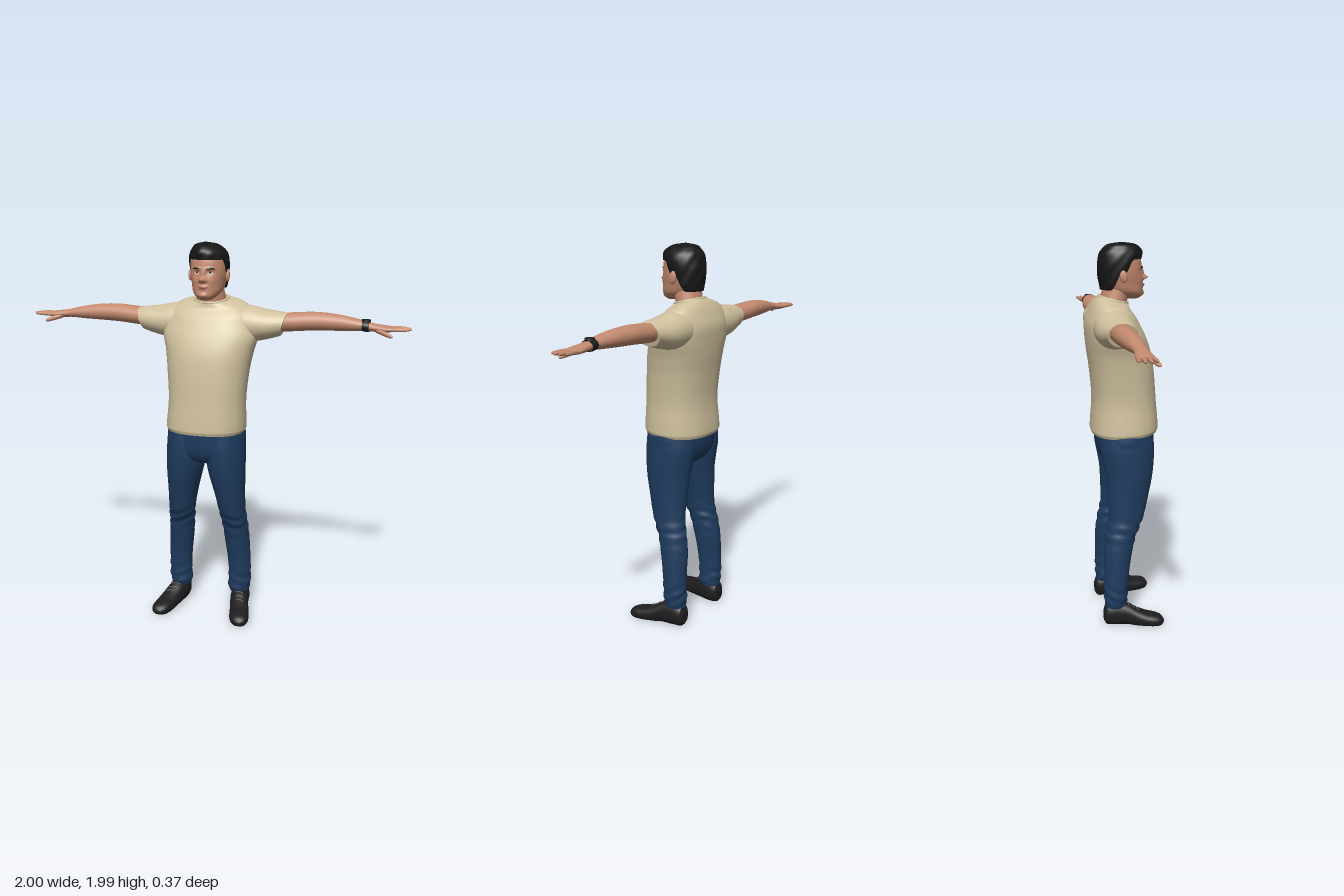
import * as THREE from 'three';

const mat = (name, color) => Object.assign(new THREE.MeshStandardMaterial({ color }), { name });
const clamp = (v) => Math.min(1, Math.max(0, v));
const ss = (a, b, v) => { const t = clamp((v - a) / (b - a)); return t * t * (3 - 2 * t); };
const spow = (v, e) => Math.sign(v) * Math.pow(Math.abs(v), e);

// Smooth interpolation of rows [t, centreA, centreB, radiusA, radiusB] at t
function at(rows, t) {
  const n = rows.length;
  t = Math.min(rows[n - 1][0], Math.max(rows[0][0], t));
  let i = 0;
  while (i < n - 2 && t > rows[i + 1][0]) i++;
  const p = rows[i], q = rows[i + 1], d = q[0] - p[0], f = (t - p[0]) / d;
  const slope = (k, c) => {
    const a = rows[Math.max(0, k - 1)], b = rows[Math.min(n - 1, k + 1)];
    return (b[c] - a[c]) / (b[0] - a[0]);
  };
  const f2 = f * f, f3 = f2 * f;
  return [1, 2, 3, 4].map((c) => (2 * f3 - 3 * f2 + 1) * p[c] + (f3 - 2 * f2 + f) * d * slope(i, c)
    + (3 * f2 - 2 * f3) * q[c] + (f3 - f2) * d * slope(i + 1, c));
}

// Surface of rings; each ring closes on itself, ends are optionally capped
function rings(count, seg, fn, capped = true) {
  const pos = [], idx = [];
  const put = (v) => pos.push(v.x, v.y, v.z) / 3 - 1;
  for (let i = 0; i < count; i++) for (let j = 0; j < seg; j++) put(fn(i, (j / seg) * Math.PI * 2));
  for (let i = 0; i < count - 1; i++) for (let j = 0; j < seg; j++) {
    const k = (j + 1) % seg, a = i * seg, b = a + seg;
    idx.push(a + j, b + j, a + k, b + j, b + k, a + k);
  }
  if (capped) for (const i of [0, count - 1]) {
    const ring = [], mid = new THREE.Vector3();
    for (let j = 0; j < seg; j++) {
      const v = fn(i, (j / seg) * Math.PI * 2);
      mid.addScaledVector(v, 1 / seg);
      ring.push(put(v));
    }
    const c = put(mid);
    ring.forEach((r, j) => { const s = ring[(j + 1) % seg]; idx.push(c, ...(i ? [s, r] : [r, s])); });
  }
  const g = new THREE.BufferGeometry();
  g.setAttribute('position', new THREE.Float32BufferAttribute(pos, 3));
  g.setIndex(idx);
  g.computeVertexNormals();
  return g;
}

// Rows: axis y -> a = x, b = z; axis x -> a = z, b = y; axis z -> a = y, b = x
function loft(axis, rows, { seg = 32, sub = 4, p = 2, warp } = {}) {
  const ts = [rows[0][0]];
  for (let i = 1; i < rows.length; i++) for (let k = 1; k <= sub; k++)
    ts.push(rows[i - 1][0] + (rows[i][0] - rows[i - 1][0]) * k / sub);
  return rings(ts.length, seg, (i, phi) => {
    const t = ts[i], [ca, cb, ra, rb] = at(rows, t);
    const a = ca + ra * spow(Math.cos(phi), 2 / p), b = cb + rb * spow(Math.sin(phi), 2 / p);
    const v = axis === 'x' ? new THREE.Vector3(t, b, a) : axis === 'y' ? new THREE.Vector3(a, t, b) : new THREE.Vector3(b, a, t);
    if (warp) warp(v);
    return v;
  });
}

// Mirror a geometry in x and keep its faces outward
function mirror(g) {
  const m = g.clone().scale(-1, 1, 1), ix = m.index.array;
  for (let i = 0; i < ix.length; i += 3) [ix[i], ix[i + 1]] = [ix[i + 1], ix[i]];
  m.computeVertexNormals();
  return m;
}

// Head profile and facial relief [x, y, spreadX, spreadY, height]
const HEAD = [[1.71, 0, .055, .028, .035], [1.725, 0, .043, .05, .064], [1.75, 0, .02, .071, .09], [1.79, 0, 0, .082, .108],
  [1.83, 0, -.003, .089, .108], [1.87, 0, -.005, .091, .108], [1.91, 0, -.006, .088, .102], [1.94, 0, -.01, .07, .085], [1.96, 0, -.01, .04, .05]];
const RELIEF = [[0, 1.84, .009, .02, .012], [0, 1.812, .013, .012, .03], [0, 1.775, .02, .009, .009], [0, 1.735, .022, .012, .009]];
for (const s of [-1, 1]) RELIEF.push([s * .014, 1.807, .008, .007, .009], [s * .034, 1.845, .016, .01, -.007],
  [s * .03, 1.864, .02, .007, .005], [s * .045, 1.805, .02, .018, .004]);
const relief = (x, y) => RELIEF.reduce((h, [cx, cy, sx, sy, k]) => h + k * Math.exp(-(((x - cx) / sx) ** 2) - ((y - cy) / sy) ** 2), 0);
const HP = 2.2;
function faceZ(x, y) {
  const [cx, cz, rx, rz] = at(HEAD, y);
  return cz + rz * Math.pow(Math.max(0, 1 - Math.abs((x - cx) / rx) ** HP), 1 / HP) + relief(x, y);
}

// Thin painted patch that follows the face
function patch(cx, cy, w, h, arch, lift) {
  const g = new THREE.PlaneGeometry(2, 2, 14, 4), P = g.attributes.position;
  for (let i = 0; i < P.count; i++) {
    const u = P.getX(i), v = P.getY(i);
    const x = cx + u * w, y = cy + v * h * Math.sqrt(Math.max(0, 1 - u * u)) + arch * (1 - u * u);
    P.setXYZ(i, x, y, faceZ(x, y) + lift);
  }
  g.computeVertexNormals();
  return g;
}

export function createModel() {
  const skin = mat('skin', 0xc38a6f), shirt = mat('shirt cloth', 0xd0c19e), denim = mat('denim', 0x1f3c5f);
  const black = mat('black leather', 0x1e1e20), hairMat = mat('hair', 0x161617), lip = mat('lips', 0xa96757);
  const white = mat('eye white', 0xd8d0c8), lace = mat('laces', 0x77777a);
  hairMat.side = THREE.DoubleSide;
  const model = new THREE.Group();
  model.name = 'standingMan';
  const add = (name, g, m, parent = model) => {
    const o = new THREE.Mesh(g, m);
    o.name = name;
    parent.add(o);
    return o;
  };
  const pair = (name, g, m, parent) => { add('left' + name, g, m, parent); add('right' + name, mirror(g), m, parent); };

  // Shirt body, with the neckline and hem tilted between front and back
  add('shirtBody', loft('y', [[1.03, -.01, .012, .2, .168], [1.05, -.01, .012, .207, .174], [1.2, -.005, .012, .2, .163],
    [1.35, -.003, 0, .212, .162], [1.45, 0, -.015, .228, .16], [1.53, 0, -.033, .248, .149], [1.6, 0, -.05, .235, .132],
    [1.65, 0, -.05, .212, .108], [1.68, 0, -.048, .17, .088], [1.705, 0, -.04, .088, .075]], {
    seg: 56, sub: 5, p: 2.3,
    warp: (v) => { v.y += -.25 * (v.z + .04) * ss(1.6, 1.7, v.y) + .04 * v.z * (1 - ss(1.03, 1.15, v.y)); },
  }), shirt);
  const collar = add('collar', new THREE.TorusGeometry(1, .09, 10, 48).rotateX(Math.PI / 2).scale(.085, .085, .073).rotateX(.245), shirt);
  collar.position.set(0, 1.706, -.04);

  // Sleeves with slanted openings
  pair('Sleeve', loft('x', [[.1, -.06, 1.585, .1, .093], [.2, -.062, 1.582, .102, .092], [.27, -.06, 1.58, .096, .079],
    [.33, -.056, 1.583, .083, .068], [.375, -.056, 1.586, .072, .058]], {
    warp: (v) => { v.x += (v.y - 1.585) * .3 * clamp((v.x - .2) / .18); },
  }), shirt);

  // Bare arms, palms and fingers
  pair('Arm', loft('x', [[.33, -.06, 1.595, .056, .046], [.42, -.065, 1.6, .056, .047], [.52, -.07, 1.607, .053, .046],
    [.62, -.066, 1.607, .046, .042], [.72, -.058, 1.602, .037, .032], [.78, -.055, 1.597, .032, .023], [.82, -.055, 1.592, .034, .02],
    [.87, -.056, 1.588, .041, .017], [.9, -.057, 1.587, .041, .014], [.915, -.057, 1.587, .035, .009]], { seg: 28 }), skin);
  const finger = (x0, z0, y0, x1, z1, y1, r) => {
    const row = (f, k) => [x0 + (x1 - x0) * f, z0 + (z1 - z0) * f, y0 + (y1 - y0) * f, r * k, r * k];
    return loft('x', [row(0, 1), row(.45, 1), row(.8, .85), row(.95, .6), row(1, .15)], { seg: 12, sub: 2 });
  };
  [[-.087, .975, -.099], [-.067, .995, -.076], [-.046, 1, -.05], [-.027, .985, -.024]].forEach(([z0, x1, z1], i) =>
    pair('Finger' + (i + 1), finger(.885, z0, 1.587, x1, z1, 1.59, .0095), skin));
  pair('Thumb', finger(.83, -.035, 1.583, .915, .002, 1.557, .0125), skin);

  // Wristwatch on the left wrist
  add('watchBand', loft('x', [[.763, -.056, 1.598, .036, .026], [.78, -.056, 1.597, .037, .028], [.797, -.056, 1.595, .036, .026]]), black);
  add('watchCase', new THREE.CylinderGeometry(.022, .024, .012, 24).translate(.78, 1.622, -.056), black);

  // Neck, head and ears
  add('neck', loft('y', [[1.64, 0, -.04, .083, .068], [1.7, 0, -.037, .077, .068], [1.75, 0, -.026, .07, .07], [1.8, 0, -.02, .065, .07]]), skin);
  add('head', loft('y', HEAD, {
    seg: 96, sub: 8, p: HP,
    warp: (v) => { if (v.z > .01) v.z += relief(v.x, v.y) * ss(.01, .04, v.z); },
  }), skin);
  const ear = new THREE.SphereGeometry(1, 16, 12).scale(.012, .033, .02).rotateX(-.2).rotateY(.3).translate(.094, 1.827, -.004);
  pair('Ear', ear, skin);

  // Painted facial features
  pair('Eyebrow', patch(.036, 1.862, .02, .004, .004, .002), hairMat);
  pair('Eye', patch(.034, 1.844, .013, .0045, .001, .002), white);
  pair('Iris', patch(.034, 1.8445, .006, .0045, .001, .0035), black);
  add('lips', patch(0, 1.775, .027, .0065, 0, .002), lip);

  // Short hair with a raised front; first ring tucks the hairline onto the scalp
  const HAIR = [[1.74, 0, -.04, .07, .062], [1.78, 0, -.02, .088, .09], [1.82, 0, -.01, .094, .106], [1.87, 0, -.008, .099, .111],
    [1.91, 0, -.004, .099, .109], [1.94, -.002, 0, .09, .106], [1.96, -.006, .002, .074, .09], [1.977, -.013, 0, .05, .062], [1.987, -.02, 0, 0, 0]];
  const HN = 30;
  add('hair', rings(HN + 1, 72, (i, phi) => {
    const c = Math.cos(phi), s = Math.sin(phi);
    const low = 1.757 + .083 * ss(-.4, -.05, s) + .066 * ss(.15, .5, s);
    const t = Math.sin(Math.max(0, i - 1) / (HN - 1) * Math.PI / 2);
    const y = low + (1.987 - low) * t;
    const [cx, cz, rx, rz] = at(HAIR, y);
    const k = (i ? 1 : .86) * (1 + .012 * Math.sin(phi * 9 + y * 70));
    return new THREE.Vector3(cx + rx * k * c, y + .006 * Math.sin(phi * 5) * t * (1 - t), cz + rz * k * s);
  }, false), hairMat);

  // Trousers and shoes share a slight sideways offset
  const lower = new THREE.Group();
  lower.name = 'lowerBody';
  lower.position.x = -.01;
  model.add(lower);
  add('trouserSeat', loft('y', [[.865, 0, .012, .06, .07], [.89, 0, .012, .13, .115], [.94, 0, .01, .195, .14],
    [1, 0, .008, .207, .148], [1.06, 0, .008, .2, .15]], { seg: 48, p: 2.2 }), denim, lower);
  pair('TrouserLeg', loft('y', [[.1, .167, -.06, .052, .054], [.13, .167, -.058, .06, .06], [.2, .17, -.058, .06, .062],
    [.3, .166, -.053, .062, .066], [.4, .158, -.045, .066, .074], [.5, .15, -.027, .067, .079], [.55, .145, -.011, .068, .085],
    [.6, .139, .002, .07, .092], [.7, .128, .012, .08, .106], [.8, .116, .02, .094, .12], [.88, .108, .018, .102, .132],
    [.96, .104, .012, .104, .14], [1.04, .1, .01, .1, .138]], {
    sub: 6,
    // Soft folds at the knee and ankle
    warp: (v) => {
      const k = Math.exp(-(((v.y - .52) / .07) ** 2)) + Math.exp(-(((v.y - .17) / .06) ** 2));
      v.z += .004 * k * Math.sin(v.y * 110 + v.x * 40);
      v.x += .003 * k * Math.sin(v.y * 95 + v.z * 30);
    },
  }), denim, lower);

  // Shoes with flat soles, and laces over the instep
  const FOOT = [[-.123, .05, .17, .03, .025], [-.11, .055, .17, .055, .042], [-.06, .06, .173, .066, .05], [0, .055, .182, .06, .05],
    [.05, .04, .197, .048, .052], [.1, .03, .209, .038, .054], [.15, .025, .219, .032, .05], [.178, .022, .223, .023, .035], [.19, .02, .224, .008, .014]];
  pair('Shoe', loft('z', FOOT, { p: 2.3, warp: (v) => { v.y = Math.max(0, v.y); } }), black, lower);
  for (const z of [.005, .028, .05]) {
    const pts = [-.45, -.2, 0, .2, .45].map((a) => {
      const [cy, cx, ry, rx] = at(FOOT, z);
      return new THREE.Vector3(cx + rx * spow(Math.sin(a), 2 / 2.3), cy + ry * spow(Math.cos(a), 2 / 2.3) + .001, z + a * .012);
    });
    pair('Lace', new THREE.TubeGeometry(new THREE.CatmullRomCurve3(pts), 12, .002, 6), lace, lower);
  }
  return model;
}
